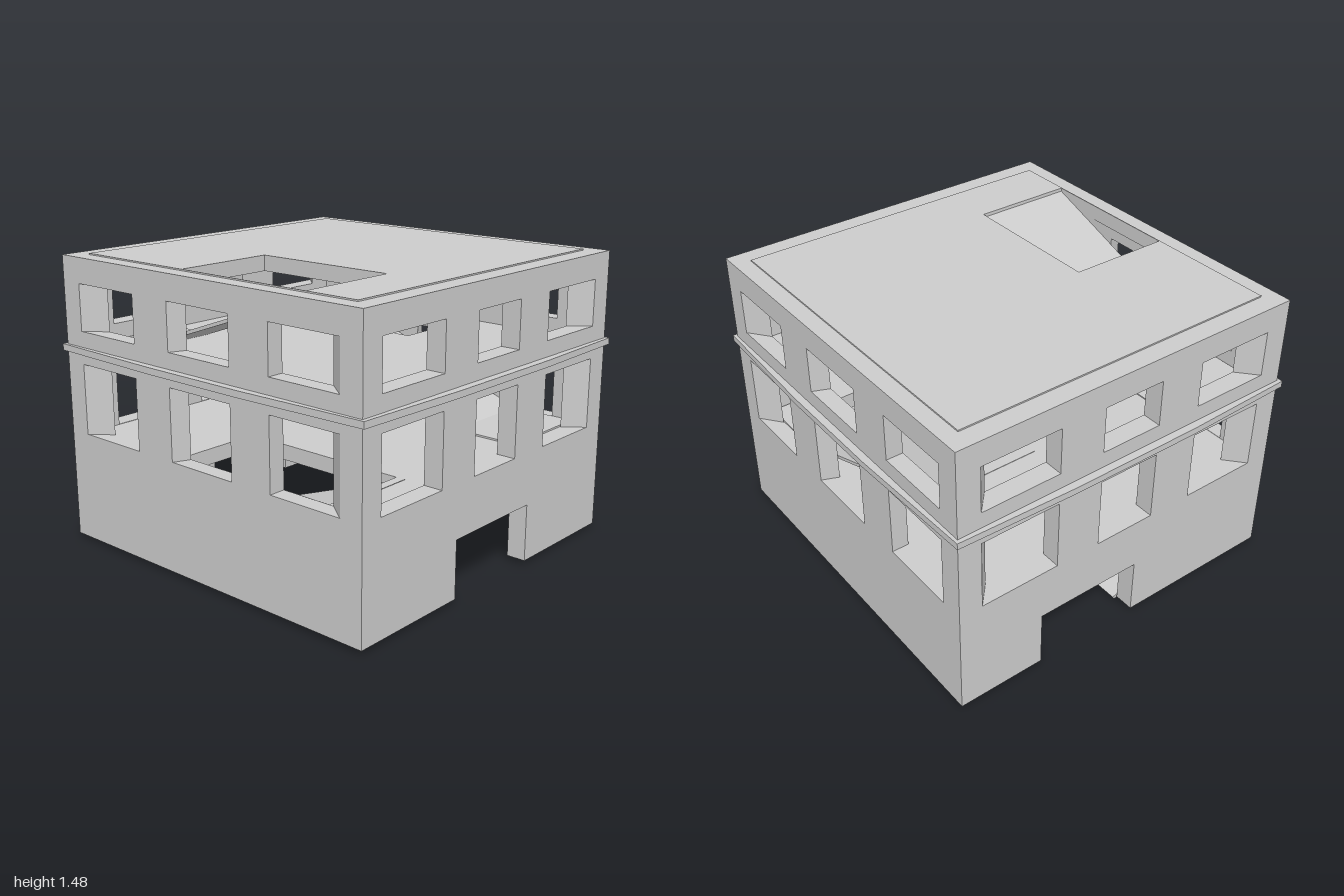
import * as THREE from 'three';
import { mergeGeometries } from 'three/addons/utils/BufferGeometryUtils.js';

const material = new THREE.MeshStandardMaterial({ color: 0xcccccc, flatShading: true, side: THREE.DoubleSide });
const BOTTOM = 0.02, TOP = 1.47;
const INNER_X = 0.855, INNER_Z = 0.86;
const STOREYS = [[0.58, 0.94], [1.106, 1.342]];

const toVectors = (points) => points.map(([x, y]) => new THREE.Vector2(x, y));
const rect = (x0, x1, y0, y1) => [[x0, y0], [x1, y0], [x1, y1], [x0, y1]];

function shapeOf(outline, holes = []) {
  const shape = new THREE.Shape(toVectors(outline));
  shape.holes = holes.map((h) => new THREE.Path(toVectors(h)));
  return shape;
}

function named(name, geometry) {
  const mesh = new THREE.Mesh(geometry, material);
  mesh.name = name;
  return mesh;
}

// Hollow wall, open below, with separate outer and inner faces so reveals can splay.
// Each column gives [outer x0, outer x1, inner x0, inner x1].
function wall(name, { half, innerHalf, dist, innerDist, columns, door }, angle) {
  const outline = (h) => {
    const points = [[-h, BOTTOM]];
    if (door) points.push([door[0], BOTTOM], [door[0], 0.312], [door[1], 0.312], [door[1], BOTTOM]);
    return points.concat([[h, BOTTOM], [h, TOP], [-h, TOP]]);
  };
  const holes = (k) => columns.flatMap((c) => STOREYS.map(([y0, y1]) => rect(c[k], c[k + 1], y0, y1)));
  const outer = [outline(half), ...holes(0)];
  const inner = [outline(innerHalf), ...holes(2)];

  const front = new THREE.ShapeGeometry(shapeOf(outer[0], outer.slice(1))).toNonIndexed();
  front.translate(0, 0, dist);
  const backIndexed = new THREE.ShapeGeometry(shapeOf(inner[0], inner.slice(1)));
  backIndexed.setIndex(Array.from(backIndexed.index.array).reverse());
  const back = backIndexed.toNonIndexed();
  back.translate(0, 0, innerDist);

  // Top edge, door and window reveals joining the two faces
  const isOpen = (p, q) => (p[1] === BOTTOM && q[1] === BOTTOM) || (p[0] === q[0] && Math.abs(p[0]) === half);
  const positions = [];
  outer.forEach((loop, k) => {
    loop.forEach((_, i) => {
      const j = (i + 1) % loop.length;
      const [s, e] = k === 0 ? [i, j] : [j, i];
      if (isOpen(loop[s], loop[e])) return;
      const a = [...loop[s], dist], b = [...loop[e], dist];
      const c = [...inner[k][s], innerDist], d = [...inner[k][e], innerDist];
      positions.push(...a, ...c, ...b, ...b, ...c, ...d);
    });
  });
  const edges = new THREE.BufferGeometry();
  edges.setAttribute('position', new THREE.Float32BufferAttribute(positions, 3));

  for (const g of [front, back]) {
    g.deleteAttribute('uv');
    g.deleteAttribute('normal');
  }
  const geometry = mergeGeometries([front, back, edges]);
  geometry.computeVertexNormals();
  geometry.rotateY(angle);
  return named(name, geometry);
}

// Horizontal plate from an outline in x and z, with holes
function plate(name, outline, holes, y0, y1) {
  const flip = (points) => points.map(([x, z]) => [x, -z]);
  const geometry = new THREE.ExtrudeGeometry(shapeOf(flip(outline), holes.map(flip)), {
    depth: y1 - y0, bevelEnabled: false,
  });
  geometry.rotateX(-Math.PI / 2);
  geometry.translate(0, y0, 0);
  return named(name, geometry);
}

// Thin strip following a top line of [distance, height] points; lean slants its ends
function strip(topLine, width, lean = 0) {
  const under = topLine.map(([u, y]) => [u + lean, y - 0.018]).reverse();
  return new THREE.ExtrudeGeometry(shapeOf([...topLine, ...under]), { depth: width, bevelEnabled: false });
}

// Ramp running along z between x0 and x1
function ramp(name, x0, x1, topLine) {
  const geometry = strip(topLine, x1 - x0);
  geometry.rotateY(-Math.PI / 2);
  geometry.translate(x1, 0, 0);
  return named(name, geometry);
}

export function createModel() {
  const group = new THREE.Group();
  group.name = 'building';

  // Outer walls
  const wide = {
    half: 0.94, innerHalf: INNER_X, dist: 0.96, innerDist: INNER_Z,
    columns: [[-0.82, -0.405, -0.73, -0.405], [-0.165, 0.16, -0.165, 0.16], [0.4, 0.815, 0.4, 0.728]],
  };
  const deep = {
    half: 0.96, innerHalf: INNER_Z, dist: 0.94, innerDist: INNER_X,
    columns: [[-0.84, -0.44, -0.73, -0.44], [-0.2, 0.2, -0.165, 0.165], [0.44, 0.84, 0.44, 0.73]],
  };
  group.add(
    wall('frontWall', { ...wide, door: [-0.287, 0.285] }, 0),
    wall('backWall', { ...wide, door: [-0.485, 0.08] }, Math.PI),
    wall('leftWall', deep, Math.PI / 2),
    wall('rightWall', deep, -Math.PI / 2),
  );

  // Floors and roof, each with a ramp opening
  const inside = rect(-INNER_X, INNER_X, -INNER_Z, INNER_Z);
  group.add(
    plate('middleFloor', inside, [rect(-0.85, -0.4, -0.22, 0.7)], 0.5, 0.578),
    plate('upperFloor', inside, [rect(0.33, 0.85, -0.63, 0.18)], 0.945, 1.022),
    plate('roof', inside, [rect(-0.85, -0.33, -0.185, 0.575)], 1.4, 1.477),
  );

  // Slightly bowed trim band around the walls
  const quarter = [[0.955, 0.98], [0.35, 1.0]];
  const side = [[0.978, -0.3], [0.978, 0.3]];
  const half = [...side, ...quarter, [-0.35, 1.0], [-0.955, 0.98]];
  const band = [...half, ...half.map(([x, z]) => [-x, -z])];
  group.add(plate('trimBand', band, [rect(-0.93, 0.93, -0.95, 0.95)], 0.993, 1.026));

  // Entry ramp and landing along the back wall
  const entry = strip([[-0.062, 0.018], [-0.42, 0.125], [-0.838, 0.125]], 0.35, -0.012);
  entry.translate(0, 0, -0.85);
  group.add(named('entryRamp', entry));

  // Ramps between the storeys, with landings at their feet
  group.add(
    ramp('lowerRamp', -0.85, -0.4, [[-0.5, 0.125], [0.75, 0.58]]),
    ramp('middleRamp', 0.33, 0.85, [[0.85, 0.587], [0.5, 0.587], [-0.69, 1.024]]),
    ramp('upperRamp', -0.85, -0.33, [[-0.85, 1.028], [-0.64, 1.028], [0.62, 1.475]]),
  );

  return group;
}
